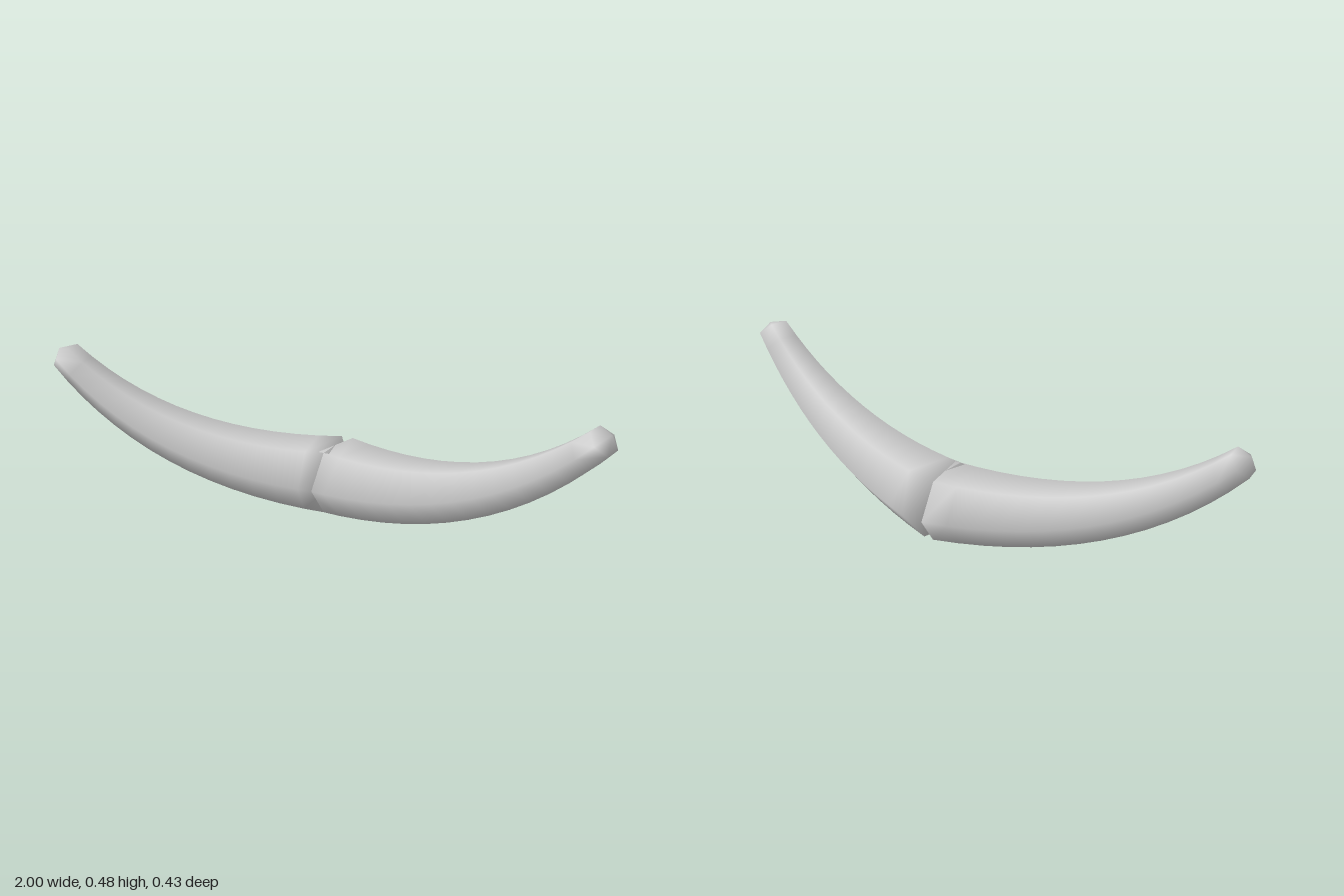
import * as THREE from 'three';

const SIDES = 6;
const STEPS = 14;

// Tapered, curved six-sided horn; mirror = -1 builds the opposite one.
function hornGeometry(mirror) {
  const path = new THREE.QuadraticBezierCurve3(
    new THREE.Vector3(0, 0.108, -0.05),
    new THREE.Vector3(0.6, 0.102, 0.088),
    new THREE.Vector3(0.965, 0.452, 0.146)
  );
  const positions = [];
  const index = [];
  const addPoint = (p) => positions.push(p.x * mirror, p.y, p.z) / 3 - 1;
  const addFace = (a, b, c) => (mirror > 0 ? index.push(a, b, c) : index.push(a, c, b));

  // Hexagonal rings, flattened vertically and shrinking toward the tip
  for (let i = 0; i <= STEPS; i++) {
    const t = i / STEPS;
    const centre = path.getPoint(t);
    const tangent = path.getTangent(t);
    const up = new THREE.Vector3(0, 1, 0).addScaledVector(tangent, -tangent.y).normalize();
    const side = new THREE.Vector3().crossVectors(tangent, up);
    const halfWidth = THREE.MathUtils.lerp(0.175, 0.067, t);
    const halfHeight = THREE.MathUtils.lerp(0.124, 0.051, t);
    for (let j = 0; j < SIDES; j++) {
      const a = (j / SIDES) * Math.PI * 2;
      addPoint(centre.clone()
        .addScaledVector(side, Math.cos(a) * halfWidth)
        .addScaledVector(up, Math.sin(a) * halfHeight));
    }
  }
  for (let i = 0; i < STEPS; i++) {
    for (let j = 0; j < SIDES; j++) {
      const a = i * SIDES + j;
      const b = i * SIDES + ((j + 1) % SIDES);
      addFace(a, a + SIDES, b);
      addFace(b, a + SIDES, b + SIDES);
    }
  }

  // Flat root cap and slightly pointed tip cap, sharing the smooth ring normals
  const root = addPoint(path.getPoint(0));
  const tip = addPoint(path.getPoint(1).addScaledVector(path.getTangent(1), 0.032));
  const last = STEPS * SIDES;
  for (let j = 0; j < SIDES; j++) {
    const k = (j + 1) % SIDES;
    addFace(root, j, k);
    addFace(tip, last + k, last + j);
  }

  const geometry = new THREE.BufferGeometry();
  geometry.setAttribute('position', new THREE.Float32BufferAttribute(positions, 3));
  geometry.setIndex(index);
  geometry.computeVertexNormals();
  return geometry;
}

export function createModel() {
  const group = new THREE.Group();
  group.name = 'curvedHorns';
  const paleGrey = new THREE.MeshStandardMaterial({ color: 0xcccccc });
  paleGrey.name = 'pale grey';

  for (const [name, mirror] of [['leftHorn', 1], ['rightHorn', -1]]) {
    const horn = new THREE.Mesh(hornGeometry(mirror), paleGrey);
    horn.name = name;
    group.add(horn);
  }
  return group;
}
